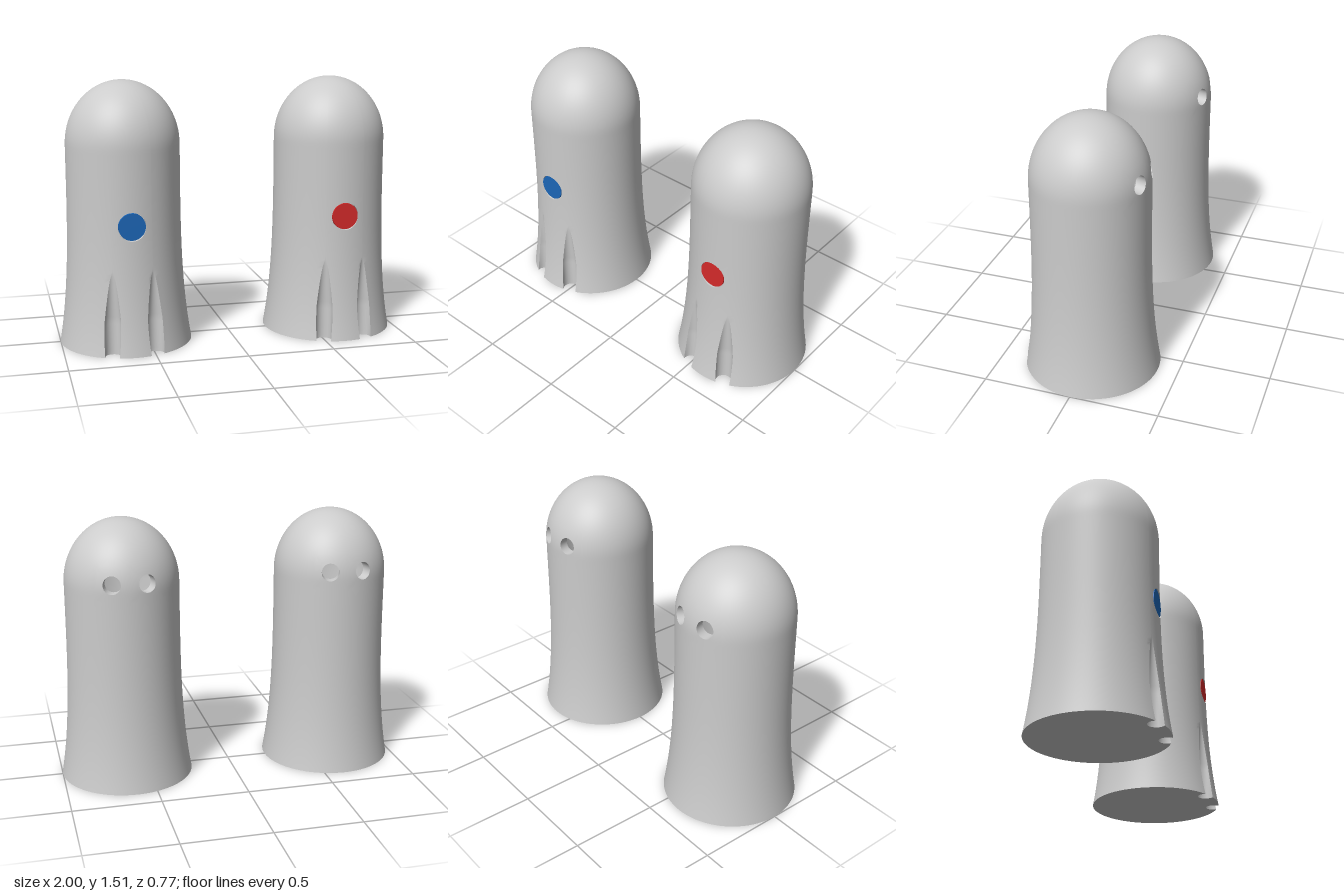
import * as THREE from 'three';
import { toCreasedNormals } from 'three/addons/utils/BufferGeometryUtils.js';

const SHOULDER = 1.15, TOP = 1.513;
const GROOVE = { angle: 0.345, axis: 0.358, radius: 0.047, min: 0.008 };
const BACK = 0.618; // half angle of the back sector holding the two holes

// Body radius at a height: flared skirt below, elliptical dome above
function radiusAt(y) {
  if (y <= SHOULDER) return 0.325 + 0.058 * Math.pow(1 - y / SHOULDER, 3.5);
  const t = (y - SHOULDER) / (TOP - SHOULDER);
  return 0.325 * Math.sqrt(Math.max(0, 1 - t * t));
}
const onBody = (a, y) => new THREE.Vector3(radiusAt(y) * Math.sin(a), y, radiusAt(y) * Math.cos(a));

// Horizontal outline at a height, notched by the two finger grooves
function outline(y) {
  const R = radiusAt(y), c = GROOVE.axis;
  // groove is a cylinder that becomes a cone towards its tip
  const g = y < 0.2 ? GROOVE.radius : GROOVE.radius - (y - 0.2) * 0.085;
  let alpha = 0;
  if (y < 0.6 && g > 0 && R > c - g) {
    alpha = Math.acos(Math.min(1, (R * R + c * c - g * g) / (2 * R * c)));
  }
  const cut = alpha > GROOVE.min;
  if (!cut) alpha = GROOVE.min;
  const pts = [];
  const arc = (from, to, n) => {
    for (let i = 0; i < n; i++) pts.push(onBody(from + (to - from) * i / n, y));
  };
  const groove = (mid) => {
    if (!cut) return arc(mid - alpha, mid + alpha, 10);
    const beta = Math.atan2(R * Math.sin(alpha), c - R * Math.cos(alpha));
    for (let i = 0; i < 10; i++) {
      const b = beta * (i / 5 - 1);
      const u = c - g * Math.cos(b), v = g * Math.sin(b);
      pts.push(new THREE.Vector3(u * Math.sin(mid) + v * Math.cos(mid), y, u * Math.cos(mid) - v * Math.sin(mid)));
    }
  };
  const a = GROOVE.angle, full = Math.PI * 2;
  arc(-a + alpha, a - alpha, 16);
  groove(a);
  arc(a + alpha, Math.PI - BACK, 24);
  arc(Math.PI - BACK, Math.PI + BACK, 16);
  arc(Math.PI + BACK, full - a - alpha, 24);
  groove(full - a);
  return pts;
}

function bodyGeometry() {
  const pos = [];
  const quad = (a, b, c, d) => [a, b, c, a, c, d].forEach((p) => pos.push(p.x, p.y, p.z));

  // Row heights; the second and fourth bands hold the round openings
  const heights = [];
  const band = (from, to, n) => { for (let i = 0; i < n; i++) heights.push(from + (to - from) * i / n); };
  band(0, 0.62, 31);
  band(0.62, 0.84, 8);
  band(0.84, 1.1, 6);
  band(1.1, 1.3, 8);
  const start = Math.asin((1.3 - SHOULDER) / (TOP - SHOULDER));
  for (let i = 0; i <= 16; i++) {
    heights.push(SHOULDER + (TOP - SHOULDER) * Math.sin(start + (Math.PI / 2 - start) * i / 16));
  }

  // Skin, leaving out the cells around the openings
  const rows = heights.map(outline);
  const n = rows[0].length;
  for (let i = 0; i < rows.length - 1; i++) {
    for (let j = 0; j < n; j++) {
      if (i >= 31 && i < 39 && j < 16) continue;
      if (i >= 45 && i < 53 && j >= 50 && j < 66) continue;
      const k = (j + 1) % n;
      quad(rows[i][j], rows[i][k], rows[i + 1][k], rows[i + 1][j]);
    }
  }

  // Patch between a rectangle of the skin and a round opening, plus its wall
  const opening = (a0, a1, cols, y0, y1, r, depth) => {
    const am = (a0 + a1) / 2, ym = (y0 + y1) / 2, R = radiusAt(ym), edge = [];
    for (let i = 0; i < cols; i++) edge.push([a0 + (a1 - a0) * i / cols, y0]);
    for (let i = 0; i < 8; i++) edge.push([a1, y0 + (y1 - y0) * i / 8]);
    for (let i = 0; i < cols; i++) edge.push([a1 - (a1 - a0) * i / cols, y1]);
    for (let i = 0; i < 8; i++) edge.push([a0, y1 - (y1 - y0) * i / 8]);
    const rings = [];
    for (let k = 0; k <= 4; k++) {
      rings.push(edge.map(([a, y]) => {
        const t = Math.atan2(y - ym, (a - am) * R);
        const ca = am + r * Math.cos(t) / R, cy = ym + r * Math.sin(t);
        return onBody(a + (ca - a) * k / 4, y + (cy - y) * k / 4);
      }));
    }
    const inward = new THREE.Vector3(-Math.sin(am), 0, -Math.cos(am)).multiplyScalar(depth);
    rings.push(rings[4].map((p) => p.clone().add(inward)));
    for (let k = 0; k < 5; k++) {
      edge.forEach((_, p) => {
        const q = (p + 1) % edge.length;
        quad(rings[k][p], rings[k][q], rings[k + 1][q], rings[k + 1][p]);
      });
    }
  };
  const f = GROOVE.angle - GROOVE.min;
  opening(-f, f, 16, 0.62, 0.84, 0.08, 0.02);
  opening(Math.PI - BACK, Math.PI, 8, 1.1, 1.3, 0.05, 0.06);
  opening(Math.PI, Math.PI + BACK, 8, 1.1, 1.3, 0.05, 0.06);

  const geo = new THREE.BufferGeometry();
  geo.setAttribute('position', new THREE.Float32BufferAttribute(pos, 3));
  // enlarged while creasing so that close vertices stay distinct
  geo.scale(100, 100, 100);
  return toCreasedNormals(geo, 0.6).scale(0.01, 0.01, 0.01);
}

export function createModel() {
  const model = new THREE.Group();
  const grey = new THREE.MeshStandardMaterial({ color: 0xcccccc });
  const body = bodyGeometry();

  // Flat underside following the notched outline
  const base = new THREE.ShapeGeometry(
    new THREE.Shape(outline(0).map((p) => new THREE.Vector2(p.x, p.z)))
  ).rotateX(Math.PI / 2);

  // Inner cavity, facing inwards
  const cavityProfile = [];
  for (let i = 0; i <= 24; i++) {
    const y = SHOULDER + (TOP - SHOULDER) * Math.cos(i / 24 * Math.PI / 2);
    cavityProfile.push(new THREE.Vector2(Math.max(0, radiusAt(y) * 0.85), y - 0.05));
  }
  cavityProfile.push(new THREE.Vector2(0.276, 0.05), new THREE.Vector2(0, 0.05));
  const cavity = new THREE.LatheGeometry(cavityProfile, 48);

  const recess = new THREE.CircleGeometry(0.082, 40).translate(0, 0.73, 0.302);
  const button = new THREE.CylinderGeometry(0.076, 0.076, 0.026, 40).rotateX(Math.PI / 2).translate(0, 0.73, 0.308);

  const shaker = (name, x, color) => {
    const group = new THREE.Group();
    group.name = name;
    group.position.x = x;
    const add = (part, geo, mat) => {
      const mesh = new THREE.Mesh(geo, mat);
      mesh.name = part;
      group.add(mesh);
    };
    add('body', body, grey);
    add('base', base, grey);
    add('cavity', cavity, grey);
    add('buttonRecess', recess, grey);
    add('button', button, new THREE.MeshStandardMaterial({ color }));
    model.add(group);
  };
  shaker('leftShaker', 0.617, 0xd42a2a);
  shaker('rightShaker', -0.617, 0x1c66b8);
  return model;
}
